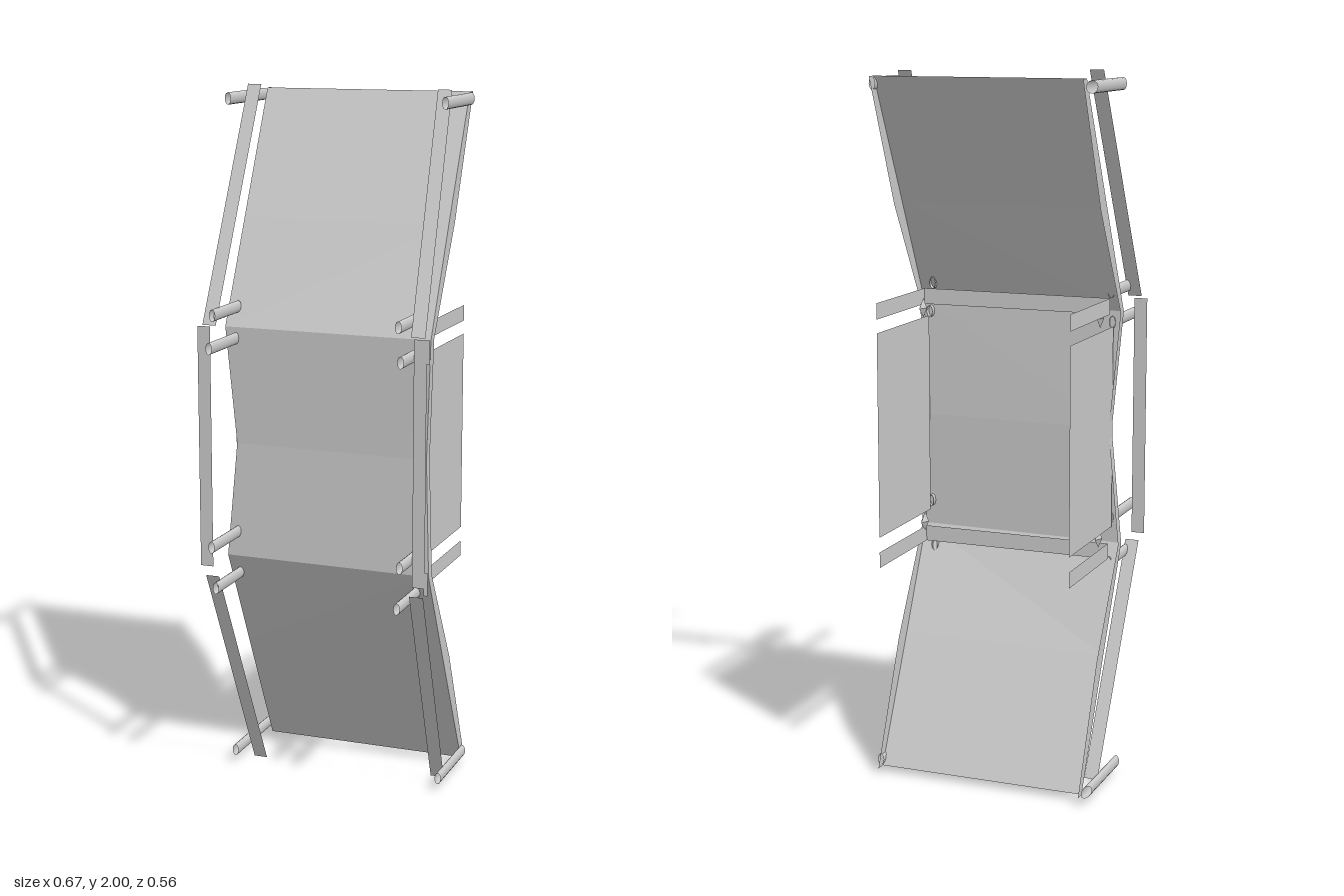
import * as THREE from 'three';

const mat = new THREE.MeshStandardMaterial({ color: 0xcccccc, side: THREE.DoubleSide });

function add(group, name, geometry) {
  const mesh = new THREE.Mesh(geometry, mat);
  mesh.name = name;
  group.add(mesh);
}

// Flat-shaded sheet lofted through rows of points
function sheet(rows) {
  const pos = [];
  for (let i = 0; i < rows.length - 1; i++) {
    for (let j = 0; j < rows[i].length - 1; j++) {
      const a = rows[i][j], b = rows[i][j + 1], c = rows[i + 1][j + 1], d = rows[i + 1][j];
      pos.push(...a, ...d, ...b, ...b, ...d, ...c);
    }
  }
  const g = new THREE.BufferGeometry();
  g.setAttribute('position', new THREE.Float32BufferAttribute(pos, 3));
  g.computeVertexNormals();
  return g;
}

// Thin strip facing the front, running between two heights
const strip = (w, x0, y0, z0, x1, y1, z1) => sheet([
  [[x0 - w / 2, y0, z0], [x0 + w / 2, y0, z0]],
  [[x1 - w / 2, y1, z1], [x1 + w / 2, y1, z1]],
]);

// Thin plate facing sideways
const sidePlate = (x, y0, y1, z0, z1) => sheet([
  [[x, y1, z1], [x, y1, z0]],
  [[x, y0, z1], [x, y0, z0]],
]);

// Open oval tube along z, with an optional slanted back end
function tube(x, y, zBack, zFront, slant = 0) {
  const g = new THREE.CylinderGeometry(1, 1, zFront - zBack, 12, 1, true);
  g.rotateX(Math.PI / 2).scale(0.009, 0.017, 1);
  const p = g.attributes.position;
  for (let i = 0; i < p.count; i++) {
    if (p.getZ(i) < 0) p.setZ(i, p.getZ(i) - slant * (p.getX(i) / 0.018 + 0.5));
  }
  g.translate(x, y, (zBack + zFront) / 2);
  return g;
}

// Small flat-shaded pointed catch facing the back
function catchCone(x, y) {
  const g = new THREE.ConeGeometry(0.028, 0.028, 4).toNonIndexed();
  g.rotateX(-Math.PI / 2).scale(0.4, 1, 1).translate(x, y, -0.01);
  g.computeVertexNormals();
  return g;
}

export function createModel() {
  const model = new THREE.Group();
  model.name = 'foldedPanelFrame';
  const flapX = [-0.285, 0.275];

  // Folded front panel with side flanges: y, left edge, right edge, z, flange depth
  const upper = [
    [1.982, -0.305, 0.302, -0.219, 0.03],
    [1.63, -0.307, 0.299, -0.05, 0.055],
    [1.335, -0.312, 0.3, 0.091, 0.028],
  ];
  const lower = upper.map(([y, ...rest]) => [2.005 - y, ...rest]).reverse();
  const rows = [...upper, [1.0, -0.283, 0.288, 0.083, 0.028], ...lower];
  add(model, 'foldedPanel', sheet(rows.map(([y, x0, x1, z, d]) => {
    const tilt = z > 0 ? 0.007 : 0;
    return [[x0, y, z - tilt - d], [x0, y, z - tilt], [x1, y, z + tilt], [x1, y, z + tilt - d]];
  })));

  // h mirrors a height between the upper and lower half
  const halves = [
    { half: 'upper', h: (y) => y, tubeY: 1.303, catchY: 1.325 },
    { half: 'lower', h: (y) => 2.005 - y, tubeY: 0.742, catchY: 0.7 },
  ];
  for (const { half, h, tubeY, catchY } of halves) {
    // Sloping rails
    add(model, half + 'LeftRail', strip(0.04, 0.275, h(1.993), -0.078, 0.302, h(1.36), 0.212));
    add(model, half + 'RightRail', strip(0.04, -0.275, h(2.0), -0.055, -0.3, h(1.36), 0.22));

    // Standoff tubes at the outer corners, the fold and the middle panel
    add(model, half + 'CornerTube', tube(0.305, h(1.962), -0.225, 0.012));
    add(model, half + 'CornerTube', tube(-0.328, h(1.962), -0.225, 0.012, 0.04));
    add(model, half + 'FoldTube', tube(0.257, h(1.39), 0.06, 0.245));
    add(model, half + 'FoldTube', tube(-0.282, h(1.39), 0.06, 0.24));
    add(model, half + 'MiddleTube', tube(0.276, tubeY, 0.08, 0.28));
    add(model, half + 'MiddleTube', tube(-0.28, tubeY, 0.08, 0.27));

    // Rear bracket: cross strip with an arm and a catch at each end
    const y0 = h(1.33), y1 = h(1.375);
    add(model, half + 'BracketCross', sheet([
      [[flapX[0], y1, 0.045], [flapX[1], y1, 0.045]],
      [[flapX[0], y0, 0.045], [flapX[1], y0, 0.045]],
    ]));
    for (const x of flapX) {
      add(model, half + 'BracketArm', sidePlate(x, y0, y1, -0.278, 0.045));
      add(model, half + 'Catch', catchCone(x * 0.95, catchY));
    }

    // Small tab on the end of the middle rail
    add(model, half + 'RailTab', strip(0.012, 0.328, h(1.355), 0.208, 0.328, h(1.29), 0.208));
  }

  // Upright middle rails
  add(model, 'middleLeftRail', strip(0.036, 0.307, 1.355, 0.208, 0.307, 0.67, 0.208));
  add(model, 'middleRightRail', strip(0.038, -0.32, 1.355, 0.212, -0.32, 0.67, 0.212));

  // Rear side flaps
  for (const x of flapX) add(model, 'rearFlap', sidePlate(x, 0.717, 1.292, -0.278, 0.075));

  return model;
}
